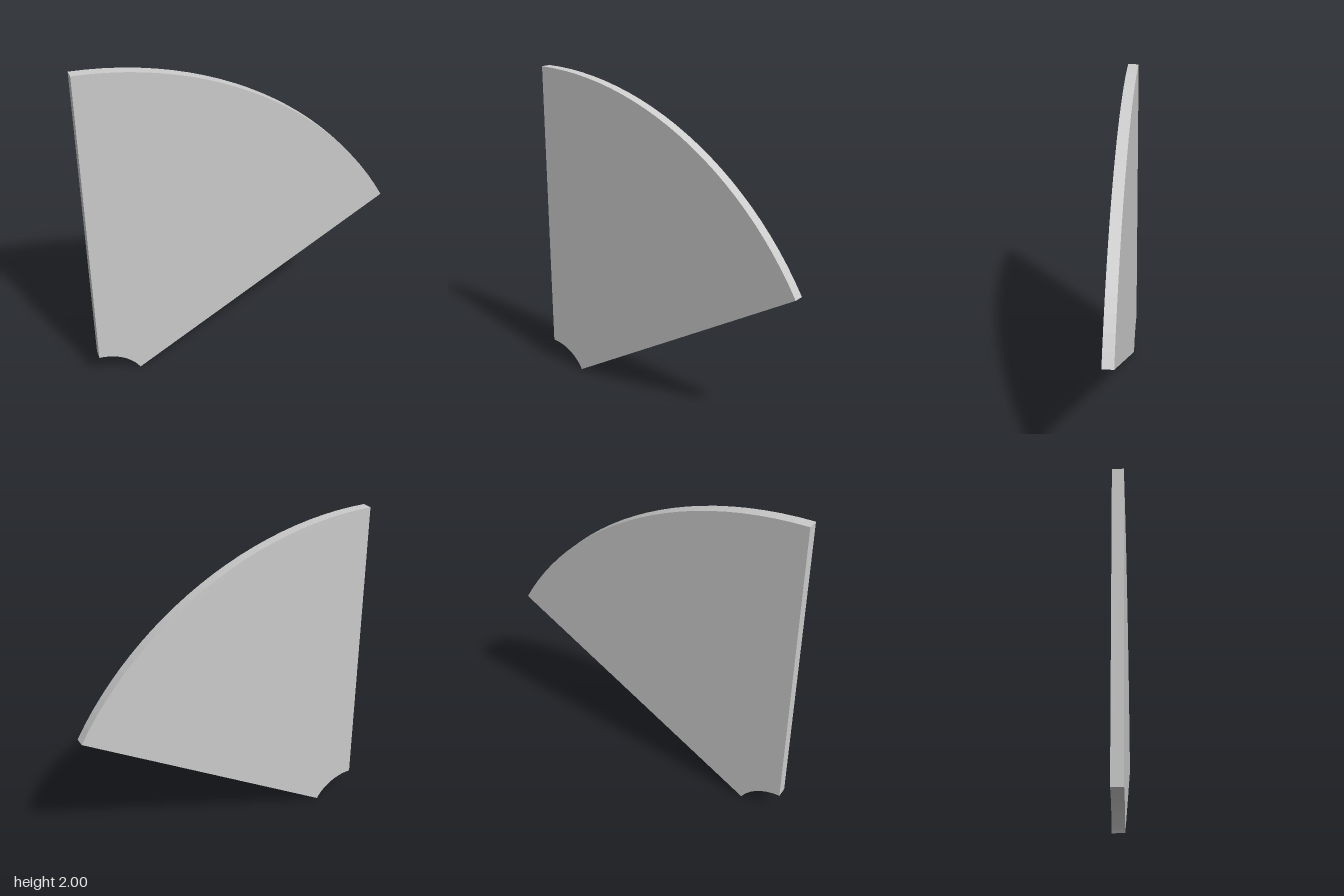
import * as THREE from 'three';

export function createModel() {
  const inner = 0.29, outer = 2.145, thickness = 0.066;
  const start = Math.PI / 6, end = Math.PI / 2; // 60 degree sector

  // Ring sector outline, centred on the arc centre
  const outline = new THREE.Shape();
  outline.absarc(0, 0, outer, start, end, false);
  outline.absarc(0, 0, inner, end, start, true);
  outline.closePath();

  // Flat plate with 5 degree facets along both arcs
  const geometry = new THREE.ExtrudeGeometry(outline, {
    depth: thickness, bevelEnabled: false, curveSegments: 12,
  });
  geometry.translate(-outer * Math.cos(start) / 2, -inner * Math.sin(start), -thickness / 2);

  const plate = new THREE.Mesh(
    geometry,
    new THREE.MeshStandardMaterial({ color: 0xcccccc, flatShading: true }),
  );
  plate.name = 'sectorPlate';

  const model = new THREE.Group();
  model.name = 'ringSector';
  model.add(plate);
  return model;
}
